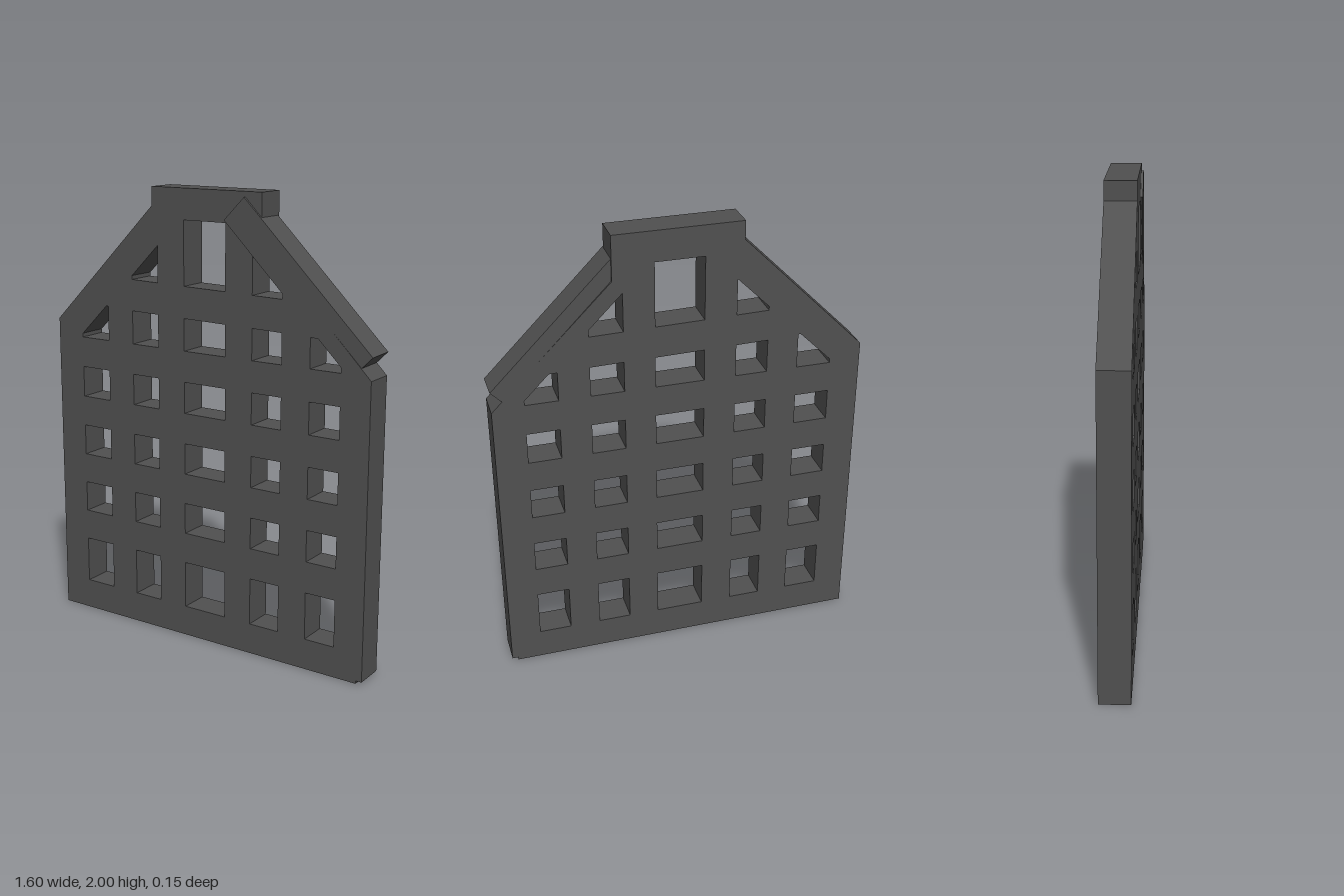
import * as THREE from 'three';

const iron = new THREE.MeshStandardMaterial({ color: 0x505050 });
iron.name = 'dark iron';

const toPoints = (list) => list.map(([x, y]) => new THREE.Vector2(x, y));
const rect = (x0, x1, y0, y1) => [[x0, y0], [x1, y0], [x1, y1], [x0, y1]];

// Grille of crossing bars with a flat cap on top
function createGrille() {
  const shape = new THREE.Shape(toPoints([
    [-0.8, 0], [0.77, 0], [0.77, 0.013], [0.797, 0.013], [0.797, 1.295],
    [0.285, 1.807], [0.285, 2], [-0.265, 2], [-0.265, 1.92], [-0.8, 1.385],
  ]));

  const columns = [[-0.663, -0.513], [-0.377, -0.238], [-0.1, 0.11], [0.243, 0.386], [0.52, 0.661]];
  const rows = [[0.137, 0.347], [0.486, 0.625], [0.761, 0.899], [1.036, 1.174]];
  const holes = [];
  for (const [x0, x1] of columns) {
    for (const [y0, y1] of rows) holes.push(rect(x0, x1, y0, y1));
  }

  // Openings beside the slightly sloping upper rail
  holes.push(
    [[-0.663, 1.311], [-0.513, 1.311], [-0.513, 1.465], [-0.522, 1.468], [-0.663, 1.328]],
    [[-0.377, 1.311], [-0.238, 1.311], [-0.238, 1.455], [-0.377, 1.458]],
    [[-0.1, 1.311], [0.11, 1.311], [0.11, 1.448], [-0.1, 1.452]],
    [[0.243, 1.311], [0.386, 1.311], [0.386, 1.443], [0.243, 1.446]],
    [[0.52, 1.311], [0.661, 1.311], [0.661, 1.335], [0.557, 1.438], [0.52, 1.439]],
    [[-0.377, 1.596], [-0.238, 1.593], [-0.238, 1.752], [-0.377, 1.613]],
    [[-0.1, 1.59], [0.11, 1.586], [0.11, 1.868], [-0.1, 1.868]],
    [[0.243, 1.583], [0.386, 1.58], [0.386, 1.609], [0.243, 1.752]],
  );
  shape.holes = holes.map((h) => new THREE.Path(toPoints(h)));

  const geometry = new THREE.ExtrudeGeometry(shape, { depth: 0.133, bevelEnabled: false });
  geometry.translate(0, 0, -0.07);
  const mesh = new THREE.Mesh(geometry, iron);
  mesh.name = 'grille';
  return mesh;
}

// Separate sloping bar, leaning forward at its upper end
function createSlopingBar() {
  const top = new THREE.Vector3(0.157, 1.93, 0.007);
  const bottom = new THREE.Vector3(0.75, 1.341, -0.007);
  const along = bottom.clone().sub(top);
  const mesh = new THREE.Mesh(new THREE.BoxGeometry(along.length(), 0.137, 0.133), iron);
  mesh.name = 'slopingBar';
  const xAxis = along.clone().normalize();
  const yAxis = new THREE.Vector3(0, 0, 1).cross(xAxis).normalize();
  const zAxis = xAxis.clone().cross(yAxis);
  mesh.quaternion.setFromRotationMatrix(new THREE.Matrix4().makeBasis(xAxis, yAxis, zAxis));
  mesh.position.copy(top).add(bottom).multiplyScalar(0.5);
  return mesh;
}

export function createModel() {
  const group = new THREE.Group();
  group.name = 'gate';
  group.add(createGrille(), createSlopingBar());
  return group;
}
